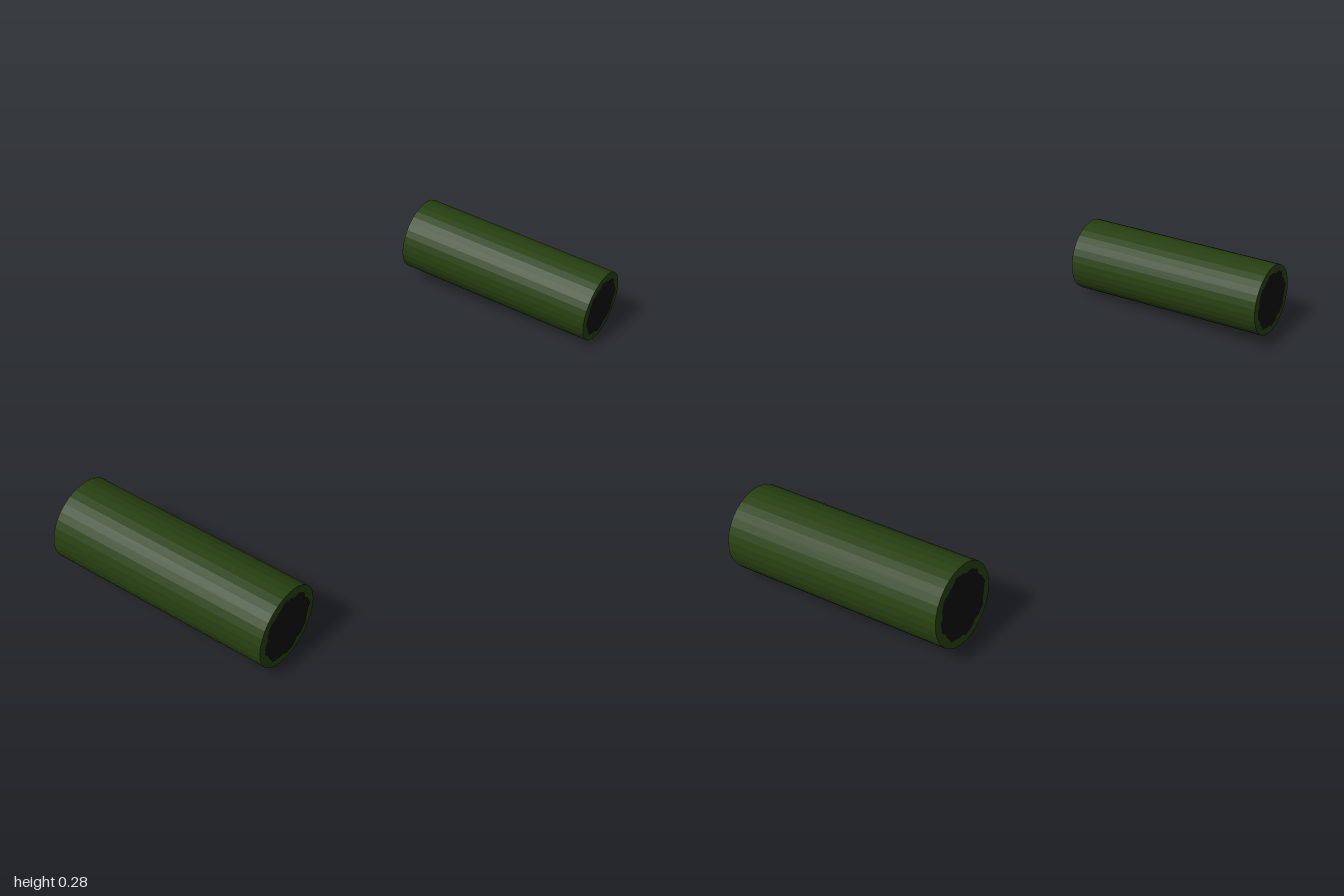
import * as THREE from 'three';

const RADIUS = 0.12;
const LENGTH = 0.69;
const TILT = -0.062;

// Ragged-edged dark disc for the ends
function raggedDisc() {
  const points = [];
  const n = 64;
  for (let i = 0; i < n; i++) {
    const a = (i / n) * Math.PI * 2;
    const r = 0.096 + 0.004 * Math.sin(8 * a + 0.6) + 0.002 * Math.sin(19 * a);
    points.push(new THREE.Vector2(r * Math.cos(a), r * Math.sin(a)));
  }
  return new THREE.ShapeGeometry(new THREE.Shape(points));
}

export function createModel() {
  const green = new THREE.MeshStandardMaterial({ color: 0x273f11, flatShading: true });
  green.name = 'dark green';
  const black = new THREE.MeshStandardMaterial({ color: 0x0e0e10 });
  black.name = 'near black';

  // Cylinder laid along x
  const bodyGeometry = new THREE.CylinderGeometry(RADIUS, RADIUS, LENGTH, 32);
  bodyGeometry.rotateZ(-Math.PI / 2);
  const discGeometry = raggedDisc();

  const model = new THREE.Group();
  model.name = 'pairOfTubes';

  for (const side of [1, -1]) {
    const tube = new THREE.Group();
    tube.name = side > 0 ? 'frontTube' : 'backTube';

    const body = new THREE.Mesh(bodyGeometry, green);
    body.name = 'tubeBody';
    tube.add(body);

    // Dark opening on each end
    for (const end of [1, -1]) {
      const opening = new THREE.Mesh(discGeometry, black);
      opening.name = end > 0 ? 'leftOpening' : 'rightOpening';
      opening.position.x = end * (LENGTH / 2 + 0.0015);
      opening.rotation.y = end * Math.PI / 2;
      tube.add(opening);
    }

    tube.rotation.z = TILT;
    tube.position.set(0, 0.143, side * 0.88);
    model.add(tube);
  }
  return model;
}
